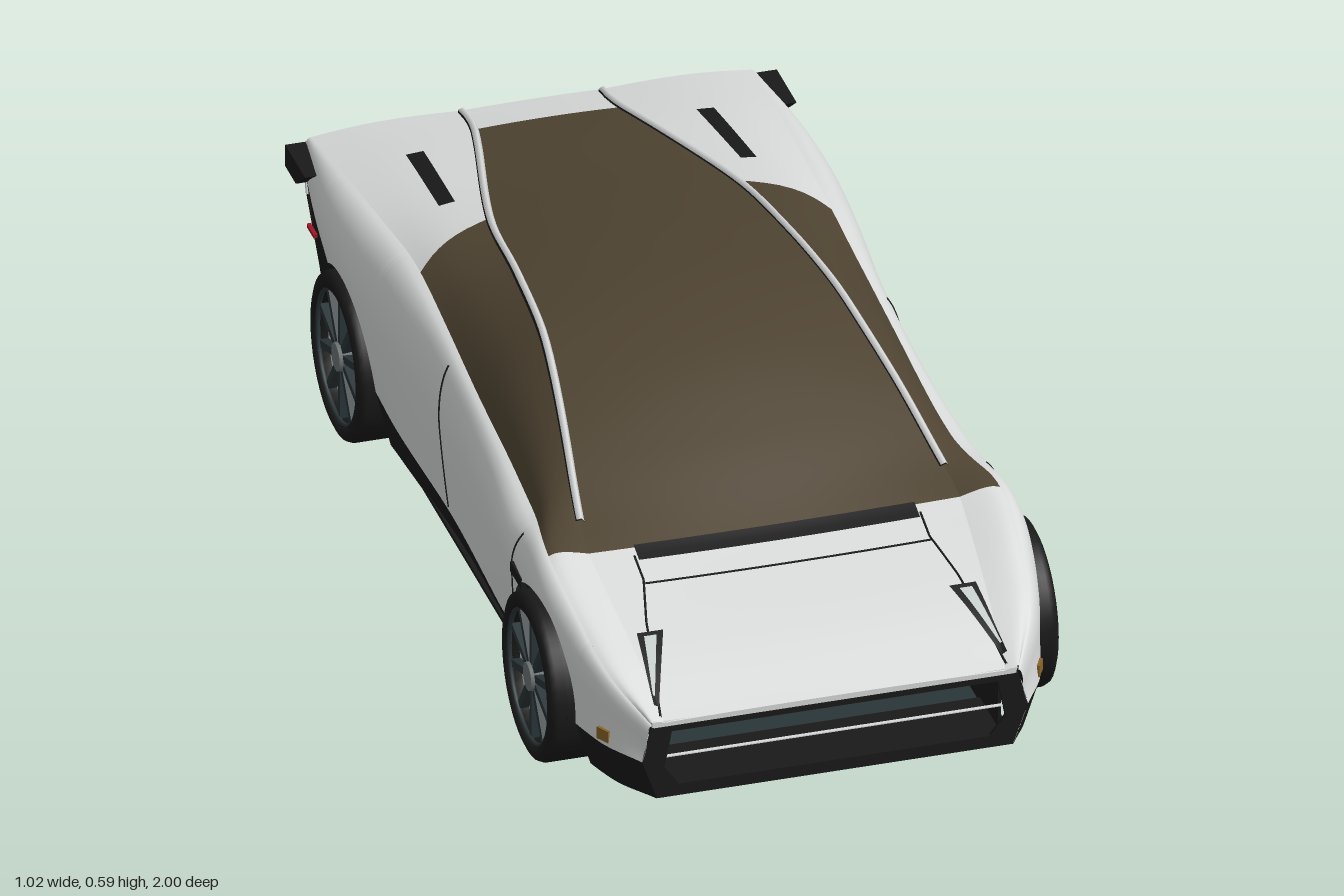
import * as THREE from 'three';

const mat = (name, color, side = THREE.FrontSide) => {
  const m = new THREE.MeshStandardMaterial({ color, side });
  m.name = name;
  return m;
};
const white = mat('bodyWhite', 0xd8dada), black = mat('trimBlack', 0x191919, THREE.DoubleSide);
const glass = mat('bronzeGlass', 0x4e4331), slate = mat('chassisSlate', 0x2a3538);
const pale = mat('paleAlloy', 0xc6cecb), grey = mat('hubGrey', 0x6e7474);
const red = mat('lampRed', 0xa01626), tan = mat('exhaustTan', 0xc9a66e), amber = mat('markerAmber', 0x8a6428);

// Smooth curve through [z, value] pairs, listed from nose to tail
function curve(...k) {
  const slope = i => {
    const a = k[Math.max(i - 1, 0)], b = k[Math.min(i + 1, k.length - 1)];
    return (b[1] - a[1]) / (b[0] - a[0]);
  };
  return z => {
    let i = 0;
    while (i < k.length - 2 && z < k[i + 1][0]) i++;
    const h = k[i + 1][0] - k[i][0], t = (z - k[i][0]) / h, t2 = t * t, t3 = t2 * t;
    return (2 * t3 - 3 * t2 + 1) * k[i][1] + (t3 - 2 * t2 + t) * h * slope(i)
      + (3 * t2 - 2 * t3) * k[i + 1][1] + (t3 - t2) * h * slope(i + 1);
  };
}

// Body lines: centre, roof rail, belt, widest line, paint edge, sill edge
const top = curve([1, .253], [.85, .322], [.62, .393], [.58, .41], [.4, .495], [.2, .568], [0, .597], [-.2, .587], [-.4, .56], [-.6, .525], [-.8, .49], [-1, .45]);
const railX = curve([1, .34], [.6, .37], [.52, .363], [.1, .3], [-.2, .272], [-.45, .248], [-.9, .145], [-1, .14]);
const railY = curve([1, .25], [.85, .322], [.6, .405], [.5, .435], [.3, .51], [.1, .562], [0, .572], [-.2, .563], [-.4, .539], [-.6, .513], [-.8, .485], [-1, .448]);
const beltX = curve([1, .365], [.9, .415], [.8, .435], [.6, .45], [.4, .422], [0, .415], [-.4, .41], [-.6, .42], [-1, .44]);
const beltY = curve([1, .248], [.85, .328], [.6, .413], [.4, .402], [.2, .42], [0, .442], [-.2, .467], [-.4, .488], [-.6, .48], [-.8, .464], [-1, .44]);
const wideX = curve([1, .375], [.9, .435], [.8, .467], [.65, .49], [.45, .482], [.2, .466], [0, .462], [-.2, .468], [-.4, .485], [-.6, .496], [-.8, .487], [-1, .455]);
const wideY = curve([1, .215], [.8, .28], [.6, .33], [0, .32], [-.6, .36], [-1, .4]);
const paintX = curve([1, .385], [.9, .44], [.7, .482], [.45, .468], [0, .457], [-.4, .476], [-.6, .49], [-1, .45]);
const paintY = curve([1, .17], [.5, .165], [.3, .152], [0, .16], [-.3, .172], [-.45, .2], [-.8, .32], [-1, .36]);
const sillY = curve([1, .085], [.8, .075], [.4, .075], [-.45, .075], [-.8, .1], [-1, .14]);

const AXLES = [.64, -.62], ARCH = .18, HUB = .178, lerp = THREE.MathUtils.lerp;
const arch = z => Math.max(0, ...AXLES.map(c => Math.abs(z - c) < ARCH ? HUB + Math.sqrt(ARCH ** 2 - (z - c) ** 2) : 0));

// Points on the body surface
function flankX(z, y) {
  const a = beltY(z), b = wideY(z), c = paintY(z);
  if (y > b) return lerp(beltX(z), wideX(z), Math.sqrt(Math.max(0, 1 - ((y - b) / (a - b)) ** 2)));
  if (y > c) return lerp(wideX(z), paintX(z), ((b - y) / (b - c)) ** 2);
  return paintX(z) - .03 * (c - y) / (c - sillY(z));
}
const roof = (z, t) => [railX(z) * t, top(z) + (railY(z) - top(z)) * t * t, z];
const shoulder = (z, t) => [lerp(railX(z), beltX(z), t) + .012 * Math.sin(Math.PI * t), lerp(railY(z), beltY(z), t) + .008 * Math.sin(Math.PI * t), z];
const flank = (z, t) => {
  const y = lerp(beltY(z), Math.max(paintY(z), arch(z)), t ** 1.7);
  return [flankX(z, y), y, z];
};
const sill = (z, t) => {
  const y = lerp(Math.max(paintY(z), arch(z)), Math.max(sillY(z), arch(z)), t);
  return [flankX(z, y), y, z];
};
const topY = (x, z) => {
  const r = railX(z), a = Math.abs(x);
  return a < r ? roof(z, a / r)[1] : shoulder(z, Math.min(1, (a - r) / (beltX(z) - r)))[1];
};

export function createModel() {
  const car = new THREE.Group();
  car.name = 'sportsCar';
  const add = (name, geo, m, x = 0, y = 0, z = 0, parent = car) => {
    const mesh = new THREE.Mesh(geo, m);
    mesh.name = name;
    mesh.position.set(x, y, z);
    parent.add(mesh);
    return mesh;
  };
  const box = (name, m, w, h, d, x, y, z, parent) => add(name, new THREE.BoxGeometry(w, h, d), m, x, y, z, parent);

  // Surface from rows running nose to tail and columns running outward
  function panel(name, m, fn, rows, cols, side = 1, t0 = 0) {
    const pos = [], idx = [], w = cols + 1;
    for (let i = 0; i <= rows.n; i++) for (let j = 0; j <= cols; j++) {
      const t = lerp(t0, 1, j / cols), p = fn(rows.at(i, t), t);
      pos.push(p[0] * side, p[1], p[2]);
      if (i < rows.n && j < cols) {
        const a = i * w + j, b = a + 1, c = a + w, d = c + 1;
        idx.push(...(side > 0 ? [a, b, c, b, d, c] : [a, c, b, b, c, d]));
      }
    }
    const g = new THREE.BufferGeometry();
    g.setAttribute('position', new THREE.Float32BufferAttribute(pos, 3));
    g.setIndex(idx);
    g.computeVertexNormals();
    return add(name, g, m);
  }
  const span = (z0, z1, n) => ({ n, at: i => lerp(z0, z1, i / n) });
  const tube = (name, pts, r, m) => add(name, new THREE.TubeGeometry(new THREE.CatmullRomCurve3(pts), 40, r, 5), m);
  const lerpPath = (path, f) => {
    const out = [];
    for (let i = 0; i < path.length - 1; i++) for (let j = 0; j < 8; j++)
      out.push(f(lerp(path[i][0], path[i + 1][0], j / 8), lerp(path[i][1], path[i + 1][1], j / 8)));
    out.push(f(...path.at(-1)));
    return out;
  };
  const topSeam = (name, path, r = .0025, m = black) => tube(name, lerpPath(path, (x, z) => new THREE.Vector3(x, topY(x, z), z)), r, m);
  // Thin inlay lying on the upper surface
  const inlay = (name, m, xa, xb, z0, z1, lift = .004, side = 1) => panel(name, m, (z, t) => {
    const f = (z - z0) / (z1 - z0), x = lerp(lerp(xa[0], xa[1], f), lerp(xb[0], xb[1], f), t);
    return [x, topY(x, z) + lift, z];
  }, span(z0, z1, 14), 8, side);

  // Upper body
  panel('hood', white, roof, span(1, .6, 24), 16, 1, -1);
  panel('canopyGlass', glass, roof, span(.6, -.89, 70), 20, 1, -1);
  panel('tailDeck', white, roof, span(-.89, -1, 6), 10, 1, -1);
  inlay('windscreenCowl', black, [-.28, -.28], [.28, .28], .635, .598);
  topSeam('hoodSeam', [[-.285, .69], [.285, .69]]);

  // Rows for the sides, with exact wheel arch ends
  const zs = [];
  for (let i = 0; i <= 120; i++) zs.push(1 - i / 60);
  for (const c of AXLES) for (const e of [-1, 1]) for (const d of [.0002, .003, .01]) zs.push(c + e * (ARCH - d), c + e * ARCH);
  zs.sort((a, b) => b - a);
  const sideRows = { n: zs.length - 1, at: i => zs[i] };
  const glassEnd = t => lerp(-.46, -.375, t);

  for (const s of [1, -1]) {
    panel('fenderTop', white, shoulder, span(1, .6, 24), 6, s);
    panel('sideWindow', glass, shoulder, { n: 50, at: (i, t) => lerp(.6, glassEnd(t), i / 50) }, 8, s);
    panel('rearShoulder', white, shoulder, { n: 30, at: (i, t) => lerp(glassEnd(t), -1, i / 30) }, 8, s);
    panel('bodySide', white, flank, sideRows, 16, s);
    panel('lowerSill', black, sill, sideRows, 3, s);

    // Roof rails and panel gaps
    const rail = (x, y) => Array.from({ length: 30 }, (_, i) => lerp(.52, -.99, i / 29)).map(z => new THREE.Vector3(s * (railX(z) + x), railY(z) + y, z));
    tube('railGap', rail(0, -.002), .01, black);
    tube('roofRail', rail(0, .002), .0085, white);
    topSeam('hoodEdgeSeam', [[s * .285, .62], [s * .285, .68], [s * .31, .78], [s * .345, .99]]);
    const sideSeam = (name, path) => tube(name, lerpPath(path, (z, y) => new THREE.Vector3(s * flankX(z, y), y, z)), .0025, black);
    sideSeam('doorRearSeam', [[-.1, .44], [-.075, .33], [-.03, .17]]);
    sideSeam('doorFrontSeam', [[.475, .395], [.47, .34], [.47, .25]]);

    // Rear deck slots, headlamps, side details
    inlay('deckSlot', black, [.285, .272], [.317, .307], -.56, -.81, .005, s);
    inlay('headlampFrame', black, [.342, .285], [.352, .338], .97, .81, .004, s);
    inlay('headlampLens', pale, [.344, .302], [.348, .327], .95, .822, .007, s);
    box('fenderVent', black, .012, .022, .07, s * .484, .33, .515);
    const marker = box('sideMarker', amber, .008, .025, .03, s * .434, .19, .91);
    marker.rotation.y = s * -.5;
    box('rearSideLamp', red, .008, .008, .045, s * .462, .285, -.915);

    // Winglet at each tail corner
    const wing = new THREE.Shape([[.87, .432], [1, .432], [1, .385], [.93, .385]].map(p => new THREE.Vector2(...p)));
    const wg = new THREE.ExtrudeGeometry(wing, { depth: .04, bevelEnabled: false }).rotateY(Math.PI / 2);
    add('tailWinglet', wg, black, s > 0 ? .45 : -.49);

    // Inner walls and wheel wells
    box('innerWall', black, .006, .165, 1.9, s * .343, .16, 0);
    for (const z of AXLES) {
      const liner = new THREE.CylinderGeometry(ARCH, ARCH, .135, 28, 1, true, 0, Math.PI).rotateZ(Math.PI / 2);
      add('wheelWell', liner, black, s * .41, HUB, z).rotation.x = liner.boundingBox ? 0 : Math.PI;
      const upper = new THREE.CylinderGeometry(ARCH, ARCH, .135, 40, 1, true).rotateZ(Math.PI / 2);
      const p = upper.attributes.position;
      for (let i = 0; i < p.count; i++) p.setY(i, Math.max(p.getY(i), 0));
      car.children.at(-1).geometry = upper;
      car.children.at(-1).rotation.x = 0;
      add('wellWall', new THREE.CircleGeometry(ARCH, 28, 0, Math.PI).rotateY(Math.PI / 2), black, s * .344, HUB, z);

      // Wheel, outer face toward local +x
      const w = new THREE.Group();
      w.name = 'wheel';
      w.position.set(s * .44, HUB, z);
      w.rotation.y = s > 0 ? 0 : Math.PI;
      car.add(w);
      const prof = [[.1, -.06], [.15, -.07], [.163, -.065], [.168, -.055], [.168, .052], [.163, .064], [.152, .069], [.135, .066], [.132, .035]];
      add('tyre', new THREE.LatheGeometry(prof.map(q => new THREE.Vector2(...q)), 40).rotateZ(-Math.PI / 2), black, 0, 0, 0, w);
      add('rimDisc', new THREE.CylinderGeometry(.134, .134, .09, 32).rotateZ(Math.PI / 2), pale, -.005, 0, 0, w);
      add('rimLip', new THREE.TorusGeometry(.134, .005, 6, 36).rotateY(Math.PI / 2), slate, .06, 0, 0, w);
      add('hub', new THREE.CylinderGeometry(.028, .034, .03, 20).rotateZ(-Math.PI / 2), grey, .05, 0, 0, w);
      for (let i = 0; i < 10; i++) {
        const spoke = new THREE.BoxGeometry(.02, .115, .015).translate(0, .078, 0).rotateX(i * Math.PI / 5);
        add('spoke', spoke, slate, .048, 0, 0, w);
      }
    }
  }

  // Flat plate outlined by its right half, with an optional opening
  function plate(name, m, half, hole, z) {
    const loop = h => [...h, ...h.map(([x, y]) => [-x, y]).reverse()].map(p => new THREE.Vector2(...p));
    const sh = new THREE.Shape(loop(half));
    if (hole) sh.holes.push(new THREE.Path(loop(hole)));
    add(name, new THREE.ExtrudeGeometry(sh, { depth: .008, bevelEnabled: false }), m, 0, 0, z);
  }
  plate('noseLip', white, [[.36, .24], [.365, .252]], null, .99);
  plate('noseCorners', white, [[.385, .17], [.375, .215], [.36, .248]], [[.375, .172], [.355, .238]], .988);
  plate('noseGrille', black, [[.355, .085], [.385, .17], [.366, .24]], [[.31, .11], [.34, .15], [.325, .228]], .991);
  plate('tailPanel', white, [[.45, .32], [.455, .4], [.44, .439], [.14, .447]], null, -.998);
  plate('tailBumper', black, [[.42, .135], [.45, .322]], [[.24, .145], [.24, .228]], -.994);
  box('tailLightBar', red, .88, .008, .006, 0, .436, -.997);
  box('blankPlate', pale, .1, .045, .006, 0, .385, -.997);

  // Exhaust row and diffuser
  for (let i = -4; i <= 4; i++) {
    const tip = Math.abs(i) % 2 === 1;
    const pipe = new THREE.CylinderGeometry(.021, .021, tip ? .09 : .04, 18).rotateX(Math.PI / 2);
    add(tip ? 'exhaustTip' : 'exhaustMount', pipe, tip ? tan : black, i * .0565, .227, -.955);
  }
  for (const x of [-.23, -.115, 0, .115, .23]) {
    box('diffuserFin', black, .008, .16, .15, x, .12, -.865);
    box('diffuserStrut', black, .008, .035, .07, x, .075, -.955);
  }
  box('diffuserBar', black, .62, .006, .02, 0, .072, -.975);
  box('diffuserCrossbar', black, .48, .006, .02, 0, .195, -.9);

  // Inner tunnel roof, floor and tubular chassis
  box('innerRoof', black, .69, .008, 1.92, 0, .238, 0);
  box('floor', slate, .69, .008, 1.6, 0, .08, .02);
  box('midFloor', black, .88, .008, .84, 0, .08, .01);
  box('frontUndertray', black, .72, .012, .15, 0, .09, .905);
  box('frontSplitter', slate, .46, .018, .04, 0, .05, .4);
  box('splitterBlade', black, .7, .008, .05, 0, .06, .44);
  const strut = (name, x0, z0, x1, z1) => {
    const b = box(name, slate, .016, .016, Math.hypot(x1 - x0, z1 - z0), (x0 + x1) / 2, .062, (z0 + z1) / 2);
    b.rotation.y = Math.atan2(x1 - x0, z1 - z0);
  };
  for (const s of [1, -1]) {
    strut('chassisRail', s * .22, -.78, s * .22, .78);
    strut('outerRail', s * .38, -.4, s * .38, .42);
    for (const z of [-.4, 0]) strut('chassisBrace', s * .22, z, 0, z + .4);
  }
  for (let i = 0; i < 9; i++) strut('crossMember', -.33, -.72 + i * .18, .33, -.72 + i * .18);
  return car;
}
